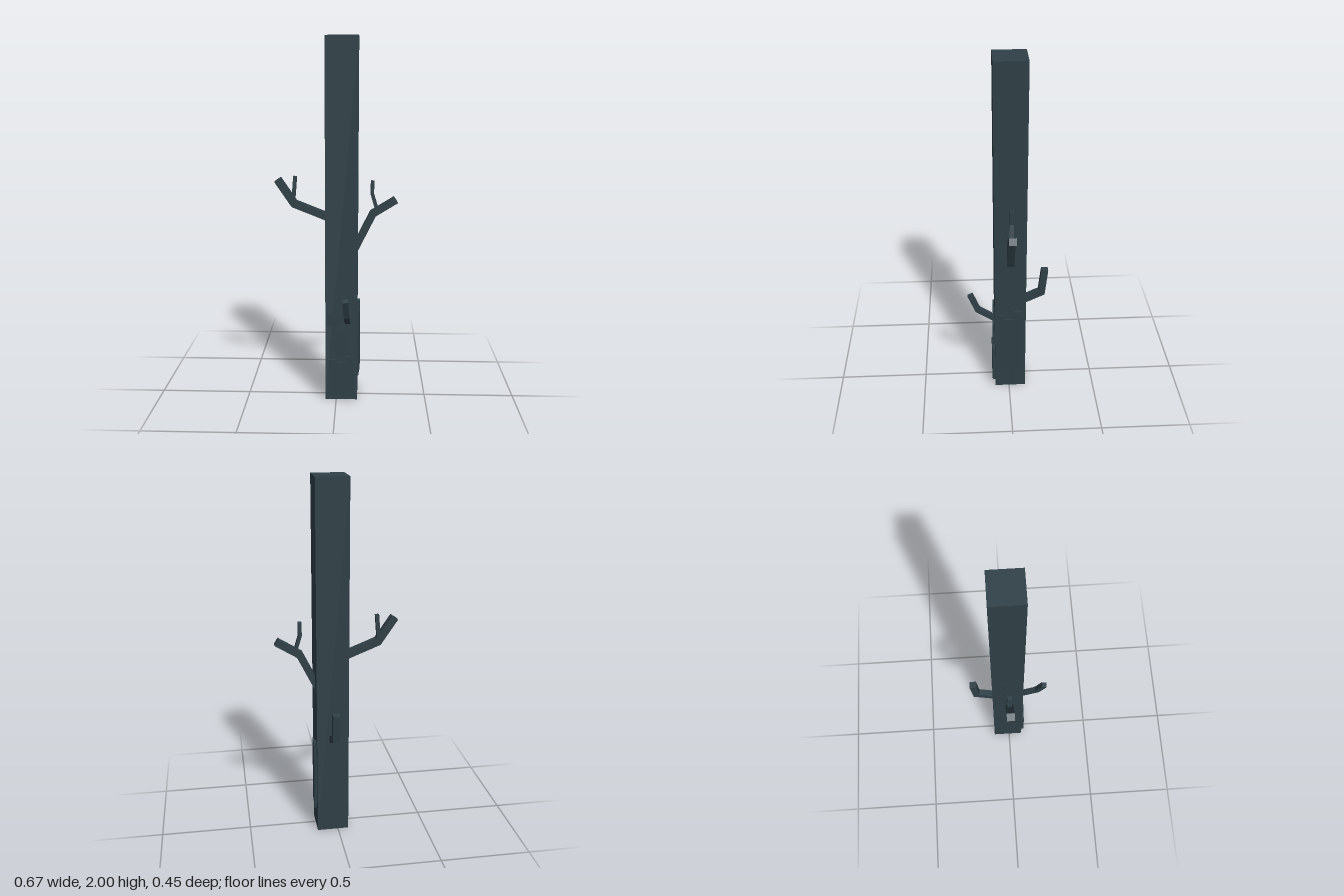
import * as THREE from 'three';

const bark = new THREE.MeshStandardMaterial({ color: 0x2f4047 });
bark.name = 'darkBark';

function shapeOf(points) {
  return new THREE.Shape(points.map(([x, y]) => new THREE.Vector2(x, y)));
}

function addMesh(parent, name, geometry) {
  const mesh = new THREE.Mesh(geometry, bark);
  mesh.name = name;
  parent.add(mesh);
  return mesh;
}

// Square-sectioned limb: a mitred strip along a bent path, extruded evenly about z = 0
function limb(path, width, depth) {
  const p = path.map(([x, y]) => new THREE.Vector2(x, y));
  const left = [], right = [];
  p.forEach((point, i) => {
    const a = p[Math.max(i - 1, 0)], b = p[Math.min(i + 1, p.length - 1)];
    const d1 = (i > 0 ? point.clone().sub(a) : b.clone().sub(point)).normalize();
    const d2 = (i < p.length - 1 ? b.clone().sub(point) : d1.clone()).normalize();
    const t = d1.clone().add(d2).normalize();
    const half = width / 2 / t.dot(d1);
    left.push([point.x - t.y * half, point.y + t.x * half]);
    right.push([point.x + t.y * half, point.y - t.x * half]);
  });
  const geometry = new THREE.ExtrudeGeometry(shapeOf([...right, ...left.reverse()]), { depth, bevelEnabled: false });
  return geometry.translate(0, 0, -depth / 2);
}

// Thin bark plate whose outer face lies at local z = 0
function plate(points) {
  return new THREE.ExtrudeGeometry(shapeOf(points), { depth: 0.02, bevelEnabled: false }).translate(0, 0, -0.02);
}

export function createModel() {
  const group = new THREE.Group();
  group.name = 'deadTree';

  // Trunk
  addMesh(group, 'trunk', new THREE.BoxGeometry(0.177, 2, 0.175).translate(0.0285, 1, -0.0075));

  // Side branches, each with a twig
  const sideLimbs = [
    ['rightBranch', [[-0.03, 1.025], [-0.232, 1.105], [-0.322, 1.238]], 0.041, 0.041],
    ['rightTwig', [[-0.238, 1.11], [-0.226, 1.256]], 0.02, 0.024],
    ['leftBranch', [[0.085, 0.825], [0.198, 1.053], [0.322, 1.13]], 0.039, 0.041],
    ['leftTwig', [[0.222, 1.065], [0.194, 1.16], [0.194, 1.234]], 0.019, 0.024],
  ];
  for (const [name, path, width, depth] of sideLimbs) {
    addMesh(group, name, limb(path, width, depth)).position.z = -0.008;
  }

  // Front and back branches, drawn as (z, y)
  const front = addMesh(group, 'frontBranch',
    limb([[0.05, 0.445], [0.176, 0.525], [0.217, 0.622]], 0.03, 0.03).rotateY(-Math.PI / 2));
  front.position.x = 0.09;
  front.rotation.z = 0.06;
  const back = addMesh(group, 'backBranch',
    limb([[-0.06, 0.555], [-0.188, 0.617], [-0.204, 0.767]], 0.038, 0.037).rotateY(-Math.PI / 2));
  back.position.x = 0.0285;

  // Bark plates on the front
  const frontPlates = [
    ['largeFrontPlate', 0.096, [[-0.04, 0.027], [0.095, 0.027], [0.095, 0.26], [0.05, 0.26],
      [0.05, 0.222], [0.003, 0.222], [0.003, 0.24], [-0.04, 0.24]]],
    ['middleFrontPlate', 0.091, [[0.003, 0.255], [0.05, 0.255], [0.05, 0.405], [0.005, 0.405],
      [0.005, 0.365], [-0.008, 0.36], [-0.012, 0.32], [0.003, 0.3]]],
    ['upperFrontPlate', 0.088, [[-0.05, 0.435], [0.035, 0.435], [0.035, 0.495], [0.005, 0.495],
      [0.005, 0.485], [-0.01, 0.485], [-0.01, 0.51], [-0.05, 0.51]]],
  ];
  for (const [name, z, points] of frontPlates) addMesh(group, name, plate(points)).position.z = z;

  // Slightly tilted bark plates on the left side, drawn as (-z, y)
  const sidePlates = [
    ['largeSidePlate', 0.127, 0.06, [[-0.058, 0.135], [0.07, 0.135], [0.07, 0.545], [0.028, 0.545],
      [0.028, 0.492], [-0.02, 0.492], [-0.02, 0.52], [-0.058, 0.52]]],
    ['lowerSidePlate', 0.1155, 0.15, [[-0.058, 0.012], [0.02, 0.012], [0.02, 0.135], [-0.025, 0.135],
      [-0.025, 0.115], [-0.058, 0.115]]],
  ];
  for (const [name, x, tilt, points] of sidePlates) {
    const mesh = addMesh(group, name, plate(points));
    mesh.position.x = x;
    mesh.rotation.y = Math.PI / 2 - tilt;
  }

  return group;
}
